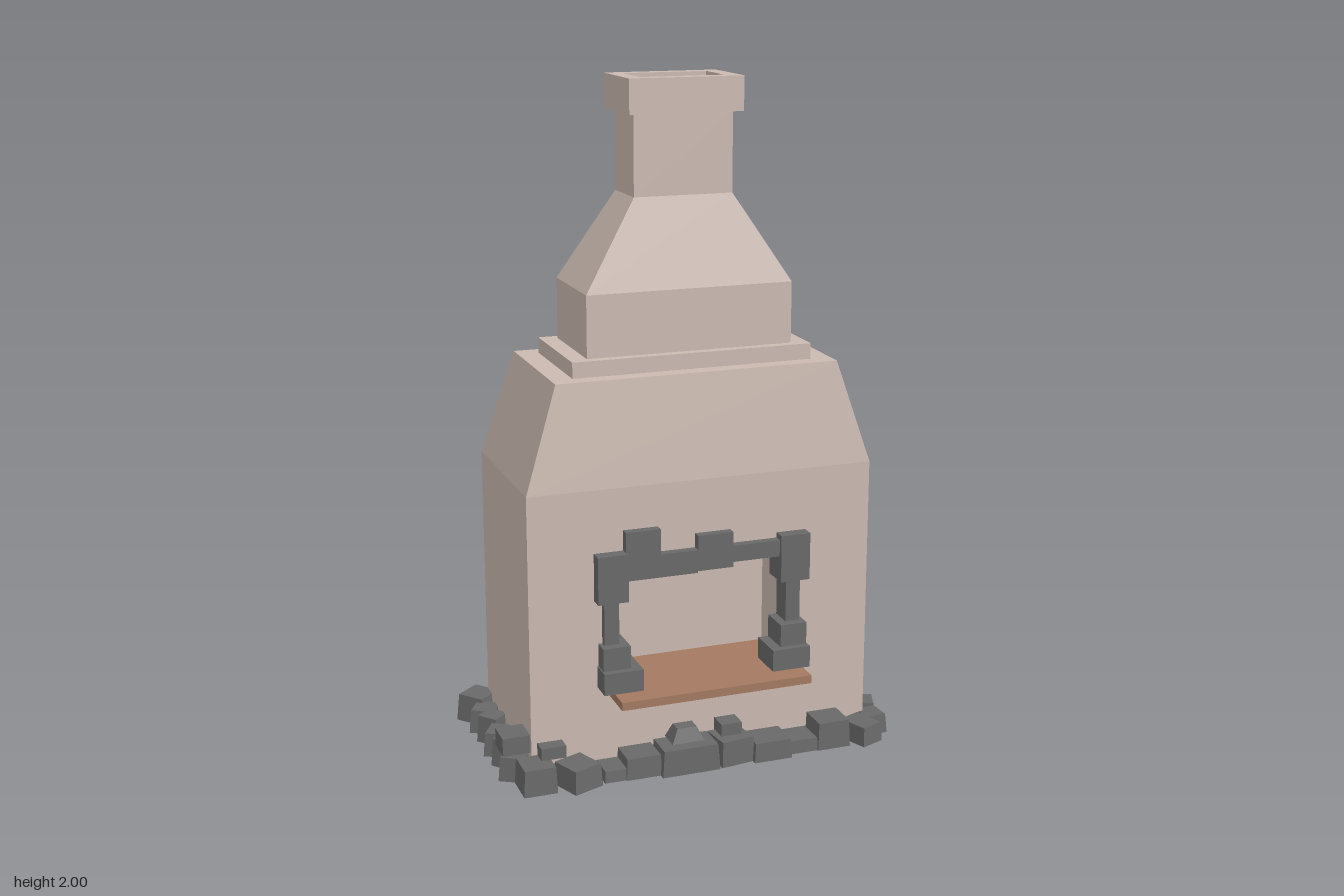
import * as THREE from 'three';

const CX = 0.005, CZ = -0.04;

// Stack of rectangular rings [y, half width, half depth], closed by a last cap
function loft(rings) {
  const pos = [];
  const ring = ([y, w, d]) => [[CX - w, y, CZ + d], [CX + w, y, CZ + d], [CX + w, y, CZ - d], [CX - w, y, CZ - d]];
  const quad = (a, b, c, d) => pos.push(...a, ...b, ...c, ...a, ...c, ...d);
  for (let i = 0; i < rings.length - 1; i++) {
    const lo = ring(rings[i]), hi = ring(rings[i + 1]);
    for (let k = 0; k < 4; k++) quad(lo[k], lo[(k + 1) % 4], hi[(k + 1) % 4], hi[k]);
  }
  quad(...ring(rings[rings.length - 1]));
  const g = new THREE.BufferGeometry();
  g.setAttribute('position', new THREE.Float32BufferAttribute(pos, 3));
  g.computeVertexNormals();
  return g;
}

// Box given by its limits
function boxBetween(x0, x1, y0, y1, z0, z1) {
  return new THREE.BoxGeometry(x1 - x0, y1 - y0, z1 - z0)
    .translate((x0 + x1) / 2, (y0 + y1) / 2, (z0 + z1) / 2);
}

// Rough stone: box with its top drawn in
function stoneGeometry(w, h, d, taper) {
  const g = new THREE.BoxGeometry(w, h, d).translate(0, h / 2, 0);
  const p = g.attributes.position;
  for (let i = 0; i < p.count; i++) {
    if (p.getY(i) > h / 2) p.setXYZ(i, p.getX(i) * taper, p.getY(i), p.getZ(i) * taper);
  }
  g.computeVertexNormals();
  return g;
}

export function createModel() {
  const material = (name, color) => {
    const m = new THREE.MeshStandardMaterial({ color });
    m.name = name;
    return m;
  };
  const plaster = material('plaster', 0xcbbab1);
  const stone = material('darkStone', 0x696969);
  const wood = material('hearthBrown', 0xa47a61);

  const model = new THREE.Group();
  model.name = 'fireplace';
  const group = name => {
    const g = new THREE.Group();
    g.name = name;
    model.add(g);
    return g;
  };
  const add = (parent, name, geo, mat) => {
    const m = new THREE.Mesh(geo, mat);
    m.name = name;
    parent.add(m);
    return m;
  };

  // Lower body: solid back and a front slab pierced by the firebox
  const L = -0.525, R = 0.535, H = 0.865, back = 0.03, front = 0.213;
  const outline = (x0, x1, y0, y1) =>
    [[x0, y0], [x1, y0], [x1, y1], [x0, y1]].map(p => new THREE.Vector2(...p));
  add(model, 'bodyBack', boxBetween(L, R, 0, H, -0.293, back), plaster);
  const wall = new THREE.Shape(outline(L, R, 0, H));
  wall.holes.push(new THREE.Path(outline(-0.275, 0.27, 0.24, 0.62)));
  const slab = new THREE.ExtrudeGeometry(wall, { depth: front - back, bevelEnabled: false });
  add(model, 'bodyFront', slab.translate(0, 0, back), plaster);

  // Sloping shoulder, ledge and chimney with a sunken flue
  add(model, 'shoulder', loft([[H, 0.53, 0.253], [1.175, 0.43, 0.222]]), plaster);
  add(model, 'ledge', loft([[1.175, 0.366, 0.175], [1.222, 0.366, 0.175]]), plaster);
  add(model, 'chimney', loft([
    [1.222, 0.314, 0.147], [1.405, 0.314, 0.147], [1.665, 0.15, 0.085], [1.9, 0.15, 0.085],
    [1.9, 0.172, 0.115], [2, 0.172, 0.115], [2, 0.127, 0.074], [1.95, 0.127, 0.074],
  ]), plaster);

  // Hearth board
  add(model, 'hearth', boxBetween(-0.29, 0.3, 0.24, 0.265, back, 0.345), wood);

  // Stone surround: mirrored jambs from the hearth up, then the lintel
  const surround = group('surround');
  let y = 0.265;
  // inner x, outer x, height, front z
  for (const [inner, outer, h, z] of [
    [0.203, 0.322, 0.066, 0.282], [0.235, 0.318, 0.069, 0.262],
    [0.261, 0.306, 0.132, 0.235], [0.237, 0.329, 0.144, 0.253],
  ]) {
    for (const side of [-1, 1]) {
      const geo = boxBetween(inner, outer, y, y + h, 0.165, z);
      add(surround, 'jambStone', geo.translate(side < 0 ? -inner - outer : 0, 0, 0), stone);
    }
    y += h;
  }
  // left x, right x, bottom, top
  for (const [x0, x1, y0, y1] of [
    [-0.24, -0.135, 0.59, 0.737], [-0.135, -0.02, 0.59, 0.66],
    [-0.02, 0.09, 0.595, 0.703], [0.09, 0.237, 0.61, 0.66],
  ]) add(surround, 'lintelStone', boxBetween(x0, x1, y0, y1, 0.165, 0.24), stone);

  // Loose stones round the foot
  const rubble = group('footStones');
  const addStone = (x, y, z, w, h, d, turn, taper) => {
    const m = add(rubble, 'footStone', stoneGeometry(w, h, d, taper), stone);
    m.position.set(x, y, z);
    m.rotation.y = THREE.MathUtils.degToRad(turn);
  };

  // Side rows: alternating sizes and turns, with a large stone at one back corner
  for (let i = 0; i < 6; i++) {
    const odd = i % 2;
    const size = i ? 0.072 + 0.012 * odd : 0.1;
    addStone(-0.56, 0, -0.275 + 0.088 * i, size, 0.085 - 0.012 * odd, size, odd ? -30 : 40, 0.88);
    addStone(0.574 - 0.018 * odd, 0, -0.255 + 0.096 * i, 0.075, 0.06, 0.08, odd ? 5 : -20, 0.87);
  }

  // Front row: x, z, width, height, turn
  for (const [x, z, w, h, turn] of [
    [-0.525, 0.26, 0.1, 0.08, 0], [-0.405, 0.28, 0.1, 0.07, 22], [-0.29, 0.25, 0.08, 0.035, 0],
    [-0.21, 0.255, 0.11, 0.065, 0], [-0.07, 0.275, 0.18, 0.08, 0], [0.075, 0.265, 0.11, 0.078, 8],
    [0.19, 0.275, 0.12, 0.06, 0], [0.295, 0.255, 0.1, 0.04, 0], [0.395, 0.26, 0.105, 0.085, 0],
    [0.5, 0.275, 0.08, 0.06, 22],
  ]) addStone(x, 0, z, w, h, 0.105, turn, 0.93);

  // Small stones lying on top of the others
  addStone(-0.565, 0.085, 0.16, 0.085, 0.055, 0.085, 0, 1);
  addStone(-0.47, 0.08, 0.235, 0.075, 0.037, 0.045, 0, 1);
  addStone(-0.065, 0.08, 0.25, 0.1, 0.042, 0.07, 0, 0.6);
  addStone(0.075, 0.075, 0.245, 0.065, 0.04, 0.06, 0, 1);

  return model;
}
